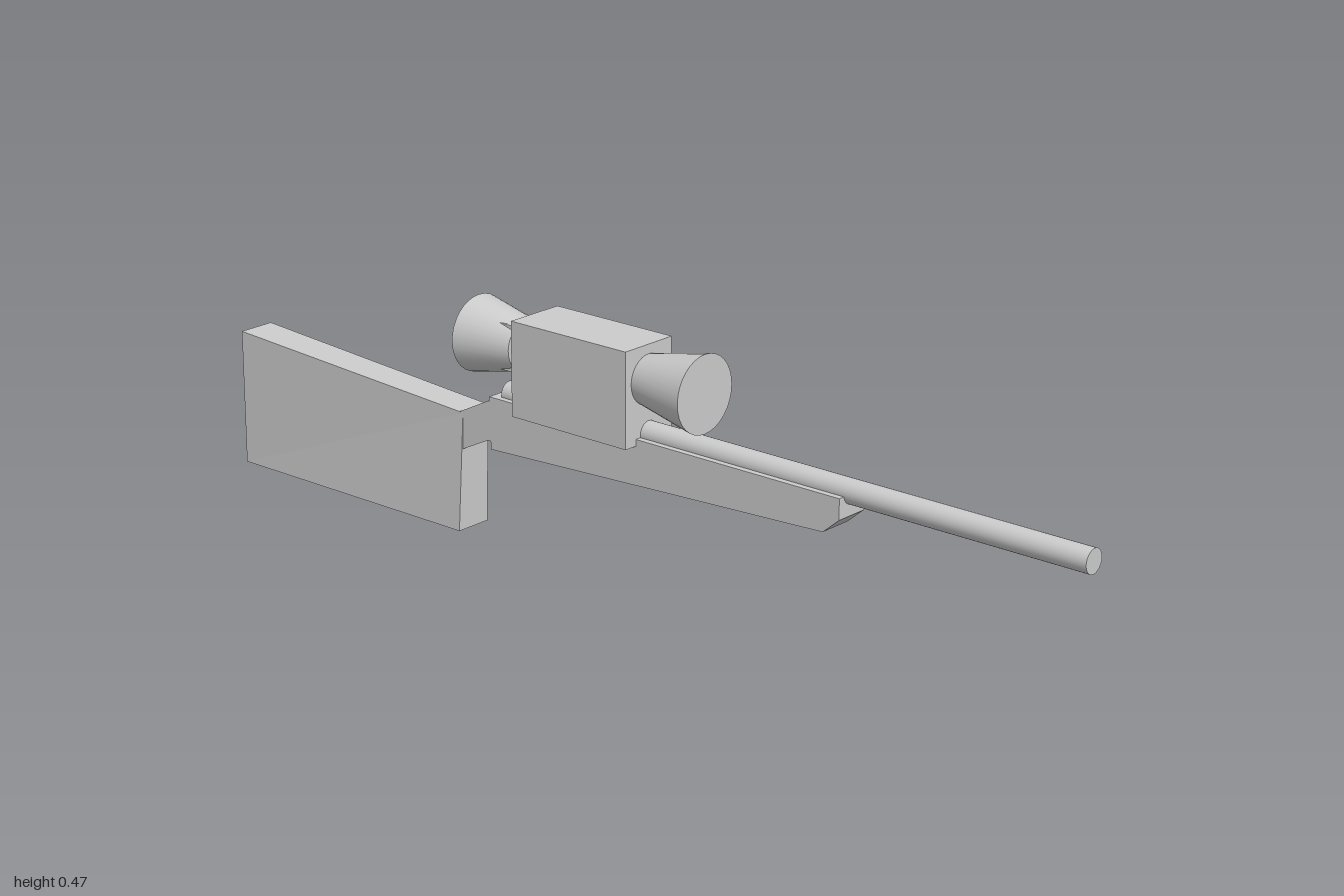
import * as THREE from 'three';

const material = new THREE.MeshStandardMaterial({ color: 0xcccccc });

export function createModel() {
  const group = new THREE.Group();

  const add = (name, geometry) => {
    const mesh = new THREE.Mesh(geometry, material);
    mesh.name = name;
    group.add(mesh);
    return mesh;
  };

  // Side profile given as [z, y] points, extruded across x
  const slab = (points, width) => {
    const shape = new THREE.Shape(points.map(([z, y]) => new THREE.Vector2(z, y)));
    return new THREE.ExtrudeGeometry(shape, { depth: width, bevelEnabled: false })
      .rotateY(-Math.PI / 2)
      .translate(width / 2, 0, 0);
  };

  // Round part along z, from zBack to zFront
  const round = (rBack, rFront, zBack, zFront, y) =>
    new THREE.CylinderGeometry(rFront, rBack, zFront - zBack, 32)
      .rotateX(Math.PI / 2)
      .translate(0, y, (zBack + zFront) / 2);

  // Barrel
  add('barrel', round(0.023, 0.023, -0.31, 1, 0.289));

  // Forestock with a chamfered nose
  add('forestock', slab(
    [[0.5, 0.285], [-0.33, 0.285], [-0.327, 0.181], [0.465, 0.215], [0.5, 0.245]], 0.07));

  // Sloping wrist between forestock and butt
  add('wrist', slab(
    [[-0.32, 0.275], [-0.335, 0.275], [-0.41, 0.237], [-0.41, 0.16], [-0.335, 0.197], [-0.32, 0.197]], 0.068));

  // Butt, with its right side flaring slightly to the rear and bottom
  const butt = slab([[-0.4, 0.237], [-1, 0.275], [-1, 0], [-0.405, 0]], 0.068);
  const pos = butt.attributes.position;
  for (let i = 0; i < pos.count; i++) {
    const flared = pos.getZ(i) < -0.9 || pos.getY(i) < 0.1;
    if (pos.getX(i) < 0 && flared) pos.setX(i, -0.044);
  }
  butt.computeVertexNormals();
  add('butt', butt);

  // Scope: boxy body, front bell, rear neck and eyepiece
  add('scopeBody', new THREE.BoxGeometry(0.126, 0.185, 0.28).translate(0, 0.3645, -0.105));
  add('scopeFrontBell', round(0.047, 0.075, 0.03, 0.167, 0.391));
  add('scopeRearNeck', new THREE.BoxGeometry(0.07, 0.09, 0.08).translate(0, 0.391, -0.28));
  add('scopeEyepiece', round(0.075, 0.05, -0.385, -0.265, 0.391));

  return group;
}
